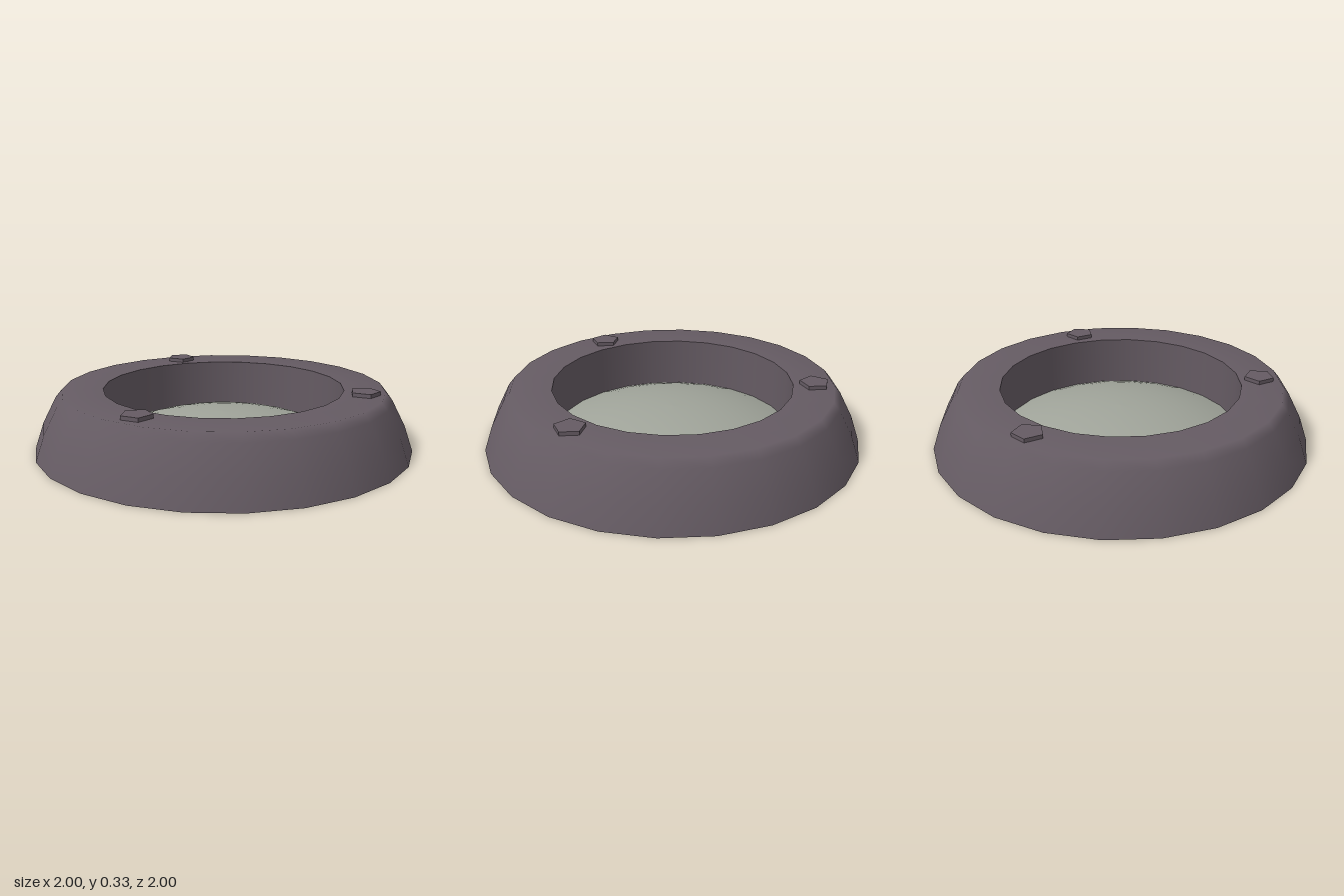
import * as THREE from 'three';

export function createModel() {
  const group = new THREE.Group();
  const casing = new THREE.MeshStandardMaterial({ name: 'plum grey metal', color: 0x655b63, side: THREE.DoubleSide });
  const glass = new THREE.MeshStandardMaterial({ name: 'pale grey glass', color: 0xa0a49a, side: THREE.DoubleSide });
  const SEGMENTS = 24, HOLE = 0.635, TOP = 0.31, RIM = 0.04, RISE = 0.13;

  const add = (name, geometry, material) => {
    const mesh = new THREE.Mesh(geometry, material);
    mesh.name = name;
    group.add(mesh);
    return mesh;
  };
  const lathe = (points) =>
    new THREE.LatheGeometry(points.map(([r, y]) => new THREE.Vector2(r, y)), SEGMENTS);

  // Hollow outer shell, rounded into its flat top ring
  add('outerShell', lathe([[1, 0], [0.953, 0.135], [0.883, 0.27], [0.85, TOP], [HOLE, TOP]]), casing);

  // Wall of the central opening
  add('innerWall', lathe([[HOLE, TOP], [HOLE, RIM]]), casing);

  // Shallow domed lens: a spherical cap
  const radius = (HOLE ** 2 + RISE ** 2) / (2 * RISE);
  const capAngle = Math.asin(HOLE / radius);
  const cap = [];
  for (let i = 8; i >= 0; i--) {
    const a = (capAngle * i) / 8;
    cap.push([radius * Math.sin(a), RIM + RISE - radius * (1 - Math.cos(a))]);
  }
  add('lens', lathe(cap), glass);

  // Three five-sided bolts set into the top ring
  const boltMaterial = new THREE.MeshStandardMaterial();
  boltMaterial.copy(casing);
  boltMaterial.flatShading = true;
  boltMaterial.name = 'plum grey bolts';
  const boltGeometry = new THREE.CylinderGeometry(0.079, 0.079, 0.035, 5);
  [[-0.53, -0.525], [0.735, -0.12], [-0.1, 0.73]].forEach(([x, z], i) => {
    const bolt = add('bolt' + (i + 1), boltGeometry, boltMaterial);
    bolt.position.set(x, 0.3125, z);
    bolt.rotation.y = Math.PI;
  });

  return group;
}
